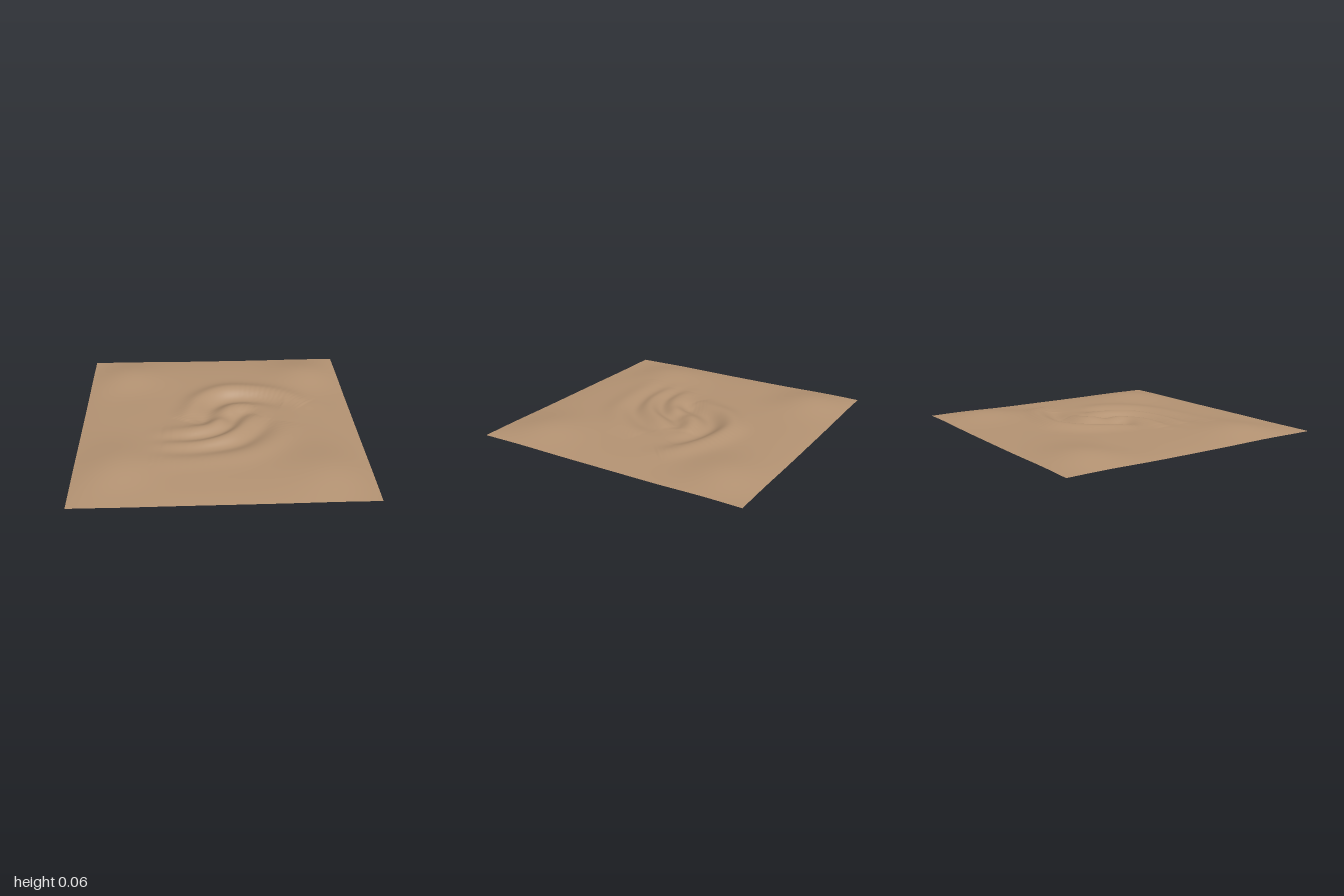
import * as THREE from 'three';

// Spiral folds: [height, width, points as x,z along the crest or trough]
const folds = [
  [0.036, 0.065, [[-0.27, 0.02], [-0.21, -0.12], [-0.13, -0.3], [0.05, -0.43], [0.3, -0.42], [0.55, -0.32], [0.68, -0.2]]],
  [-0.030, 0.055, [[-0.12, 0.03], [-0.06, -0.17], [0.08, -0.29], [0.3, -0.29], [0.5, -0.21]]],
  [0.034, 0.055, [[-0.42, 0.18], [-0.18, 0.16], [0.01, 0.03], [0.1, -0.14], [0.28, -0.2]]],
  [-0.022, 0.04, [[-0.42, 0.27], [-0.12, 0.25], [0.06, 0.13], [0.15, -0.04], [0.27, -0.12]]],
  [0.030, 0.05, [[-0.42, 0.34], [-0.15, 0.335], [0.06, 0.25], [0.2, 0.08], [0.28, -0.05]]],
  [-0.016, 0.045, [[-0.42, 0.43], [-0.12, 0.42], [0.14, 0.34], [0.31, 0.15], [0.38, 0]]],
  [0.018, 0.07, [[-0.5, 0.55], [-0.15, 0.53], [0.2, 0.45], [0.42, 0.25], [0.48, 0.05]]],
].map(([height, width, pts]) => ({
  height, width,
  samples: new THREE.CatmullRomCurve3(pts.map(([x, z]) => new THREE.Vector3(x, 0, z))).getPoints(40),
}));

// Broad mounds and pits: [x, z, height, radius]
const mounds = [
  [-0.75, -0.74, 0.050, 0.2],
  [0.75, -0.74, 0.050, 0.2],
  [-0.75, 0.58, 0.040, 0.2],
  [0.74, 0.7, 0.040, 0.2],
  [-0.7, -0.42, -0.012, 0.16],
  [0.85, -0.42, -0.012, 0.16],
  [-0.65, 0.9, -0.012, 0.16],
  [-0.11, 0.03, -0.022, 0.06],
  [0.05, -0.02, -0.022, 0.05],
];

function foldHeight(fold, x, z) {
  let best = Infinity, at = 0;
  fold.samples.forEach((p, i) => {
    const d = (p.x - x) ** 2 + (p.z - z) ** 2;
    if (d < best) { best = d; at = i; }
  });
  // fade towards both ends of the fold
  const t = at / (fold.samples.length - 1);
  const fade = 0.15 + 0.85 * Math.sin(Math.PI * t) ** 0.7;
  return fold.height * fade * Math.exp(-best / (2 * fold.width ** 2));
}

function surfaceHeight(x, z) {
  let h = 0.028;
  for (const f of folds) h += foldHeight(f, x, z);
  for (const [mx, mz, height, r] of mounds) {
    h += height * Math.exp(-((x - mx) ** 2 + (z - mz) ** 2) / (2 * r * r));
  }
  // the sheet sinks towards its border
  const border = (1 - Math.abs(x) ** 5) * (1 - Math.abs(z) ** 5);
  return Math.max(0, 0.02 + (h - 0.002) * (0.2 + 0.8 * border) - 0.004 * (1 - border));
}

export function createModel() {
  const group = new THREE.Group();
  group.name = 'swirledTerrain';

  const sand = new THREE.MeshStandardMaterial({ color: 0xb39272, side: THREE.DoubleSide });
  sand.name = 'sand brown';

  // Rippled sheet with a spiral in the middle
  const geometry = new THREE.PlaneGeometry(2, 2, 150, 150);
  geometry.rotateX(-Math.PI / 2);
  const pos = geometry.attributes.position;
  for (let i = 0; i < pos.count; i++) {
    pos.setY(i, surfaceHeight(pos.getX(i), pos.getZ(i)));
  }
  geometry.computeVertexNormals();

  const ground = new THREE.Mesh(geometry, sand);
  ground.name = 'sandSurface';
  group.add(ground);
  return group;
}
